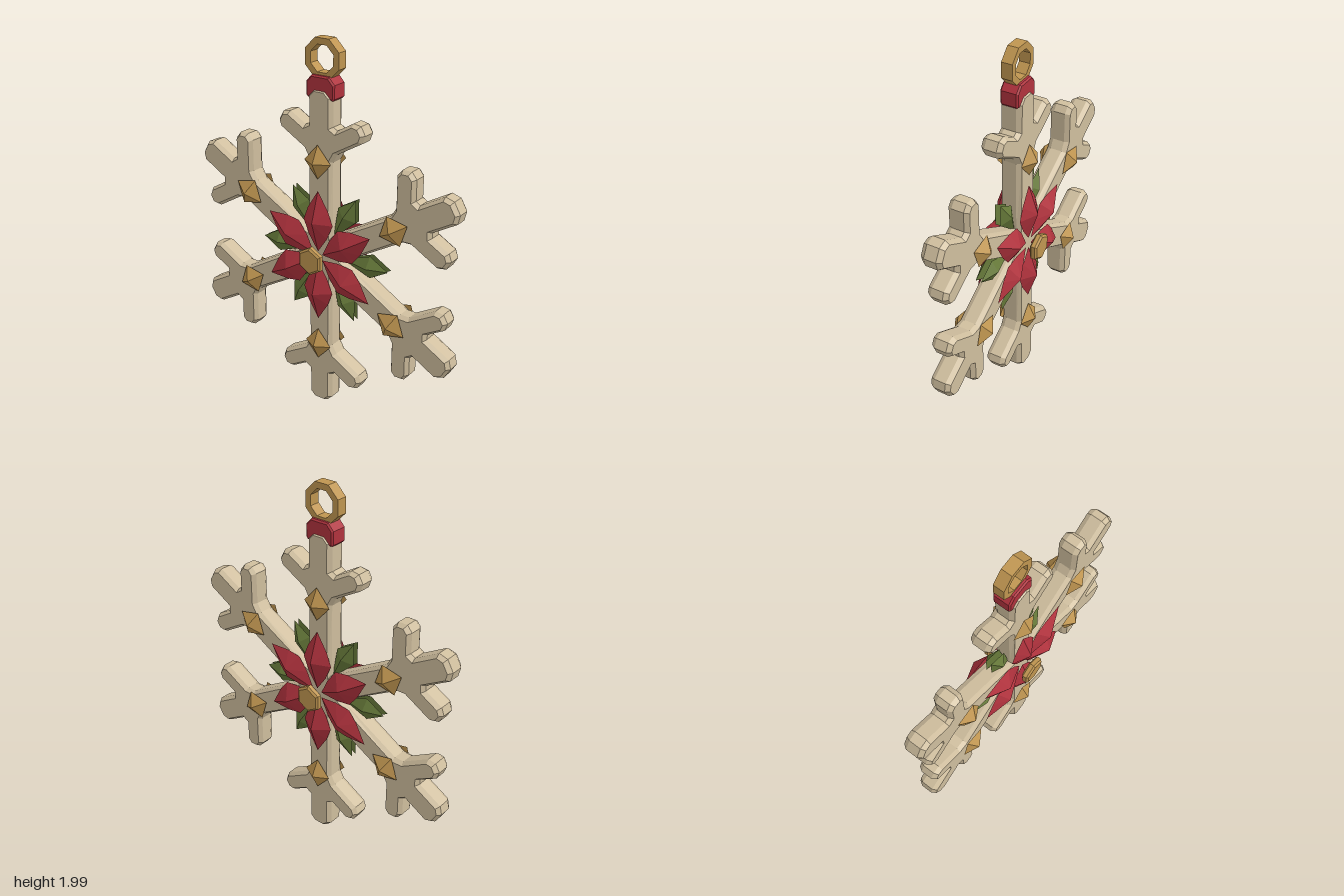
import * as THREE from 'three';

const CENTRE_Y = 0.885;
const STEP = Math.PI / 3;

function material(name, color) {
  const m = new THREE.MeshStandardMaterial({ color, flatShading: true });
  m.name = name;
  return m;
}

function mesh(name, geometry, mat) {
  const m = new THREE.Mesh(geometry, mat);
  m.name = name;
  return m;
}

// Extrude a shape centred on z = 0, with one chamfer kept inside the outline
function slab(shape, thickness, chamferXY = 0, chamferZ = 0) {
  const depth = thickness - 2 * chamferZ;
  const g = new THREE.ExtrudeGeometry(shape, {
    depth, bevelEnabled: chamferZ > 0, bevelSegments: 1,
    bevelSize: chamferXY, bevelOffset: -chamferXY, bevelThickness: chamferZ,
  });
  return g.translate(0, 0, -depth / 2);
}

// Faceted gem: half outline [x, y] from the inner end to the tip, raised to one peak
function gem(half, peakY, baseZ, peakZ) {
  const left = half.slice(1, -1).reverse().map(([x, y]) => [-x, y]);
  const ring = [...half, ...left];
  const pos = [];
  ring.forEach((a, i) => {
    const b = ring[(i + 1) % ring.length];
    pos.push(a[0], a[1], baseZ, b[0], b[1], baseZ, 0, peakY, peakZ);
    pos.push(b[0], b[1], baseZ, a[0], a[1], baseZ, 0, peakY, baseZ);
  });
  const g = new THREE.BufferGeometry();
  g.setAttribute('position', new THREE.Float32BufferAttribute(pos, 3));
  g.computeVertexNormals();
  return g;
}

// Six-armed outline with two side branches on every arm
function snowflakeShape() {
  const s = Math.sin(STEP), c = Math.cos(STEP);
  const branch = (t, w) => [t * s + w * c, 0.566 + t * c - w * s];
  const half = [
    [0.07, 0.121], [0.07, 0.515], branch(0.08, 0.0525),
    branch(0.247, 0.0525), branch(0.28, 0.025), branch(0.28, -0.025), branch(0.247, -0.0525),
    branch(0.14, -0.0525), [0.07, 0.695], [0.07, 0.842], [0.034, 0.876],
  ];
  const arm = [...half, ...half.slice(1).reverse().map(([x, y]) => [-x, y])];
  const pts = [];
  for (let k = 0; k < 6; k++) {
    for (const [x, y] of arm) {
      pts.push(new THREE.Vector2(x, y).rotateAround(new THREE.Vector2(), k * STEP));
    }
  }
  return new THREE.Shape(pts);
}

function octagon(apothem) {
  const r = apothem / Math.cos(Math.PI / 8);
  return Array.from({ length: 8 }, (_, i) => {
    const a = (i + 0.5) * Math.PI / 4;
    return new THREE.Vector2(r * Math.cos(a), r * Math.sin(a));
  });
}

export function createModel() {
  const wood = material('pale wood', 0xcfbe9e);
  const red = material('petal red', 0xb0323d);
  const green = material('leaf green', 0x677a3a);
  const gold = material('gold', 0xbf9550);

  const model = new THREE.Group();
  model.name = 'snowflakeOrnament';

  const flake = mesh('snowflake', slab(snowflakeShape(), 0.112, 0.015, 0.024), wood);
  flake.position.y = CENTRE_Y;
  model.add(flake);

  const petalGeo = gem([[0, 0.03], [0.055, 0.11], [0.09, 0.19], [0.062, 0.262], [0, 0.36]], 0.2, 0.064, 0.118);
  const leafGeo = gem([[0, 0.12], [0.06, 0.285], [0, 0.39]], 0.28, 0.015, 0.05);
  const studGeo = gem([[0, 0.423], [0.08, 0.512], [0, 0.601]], 0.512, 0.066, 0.112);
  // Chamfered hexagonal bead, axis turned to z
  const beadGeo = new THREE.LatheGeometry(
    [[0, 0.106], [0.066, 0.106], [0.076, 0.115], [0.076, 0.136], [0.064, 0.145], [0, 0.145]]
      .map(([x, y]) => new THREE.Vector2(x, y)), 6).rotateX(Math.PI / 2);

  // Same flower on the front and the back
  for (const side of ['front', 'back']) {
    const face = new THREE.Group();
    face.name = side + 'Flower';
    face.position.y = CENTRE_Y;
    if (side === 'back') face.rotation.y = Math.PI;
    for (let k = 0; k < 6; k++) {
      const petal = mesh('petal', petalGeo, red);
      const stud = mesh('armStud', studGeo, gold);
      const leaf = mesh('leaf', leafGeo, green);
      petal.rotation.z = stud.rotation.z = k * STEP;
      leaf.rotation.z = (k + 0.5) * STEP;
      face.add(petal, stud, leaf);
    }
    face.add(mesh('centreBead', beadGeo, gold));
    model.add(face);
  }

  // Cap over the top arm
  const capShape = new THREE.Shape([
    [-0.074, 1.71], [0.074, 1.71], [0.083, 1.72], [0.083, 1.788],
    [0.05, 1.823], [-0.05, 1.823], [-0.083, 1.788], [-0.083, 1.72],
  ].map(([x, y]) => new THREE.Vector2(x, y)));
  model.add(mesh('cap', slab(capShape, 0.096, 0.008, 0.008), red));

  // Hanging ring
  const ringShape = new THREE.Shape(octagon(0.098));
  ringShape.holes.push(new THREE.Path(octagon(0.066).reverse()));
  const ring = mesh('hangingRing', slab(ringShape, 0.058), gold);
  ring.position.y = 1.902;
  model.add(ring);

  return model;
}
